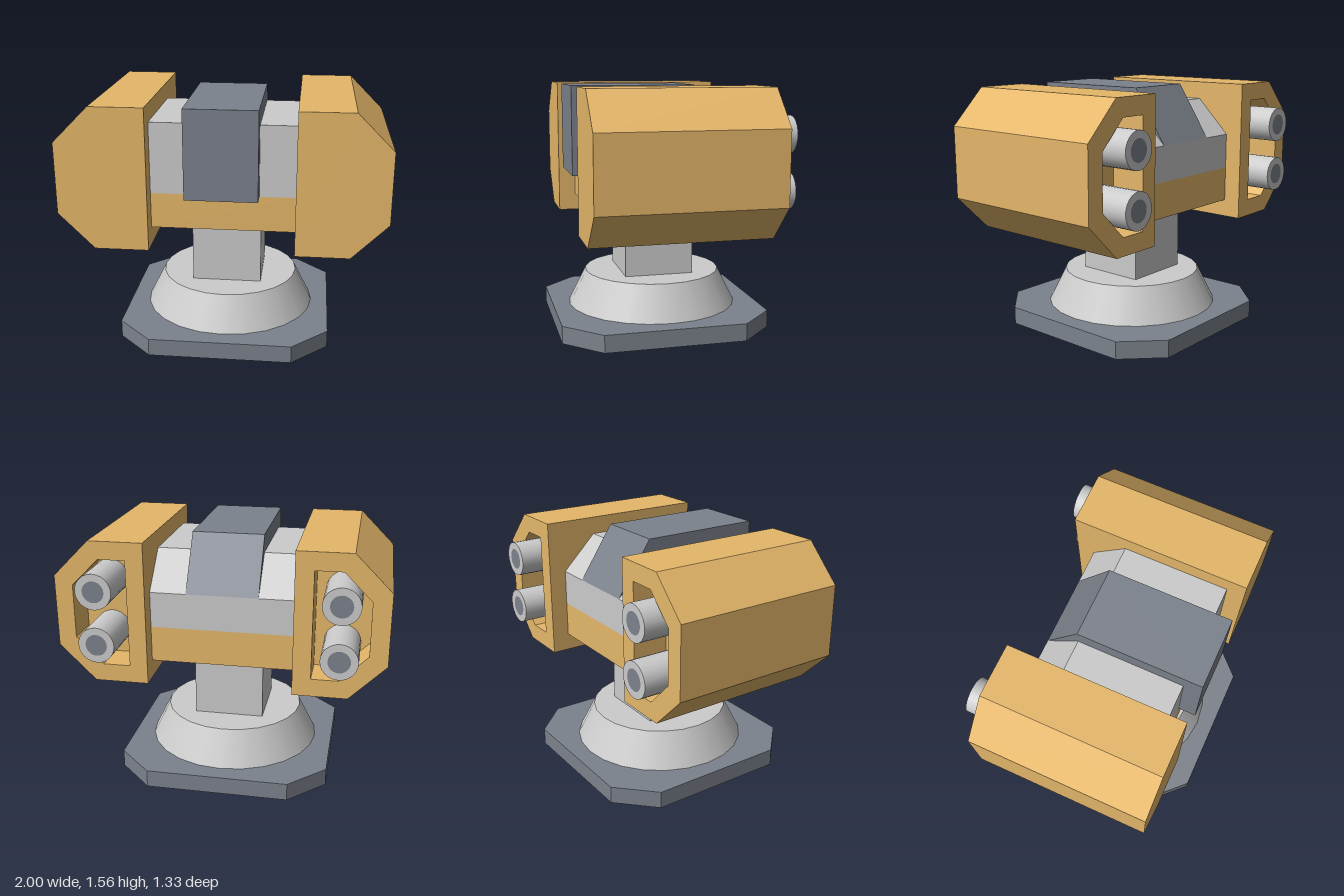
import * as THREE from 'three';

const U = 1 / 9; // modelling unit
const light = new THREE.MeshStandardMaterial({ color: 0xcccccc });
const dark = new THREE.MeshStandardMaterial({ color: 0x7c828c });
const yellow = new THREE.MeshStandardMaterial({ color: 0xe5b76a });

function add(parent, name, geometry, material, x = 0, y = 0, z = 0) {
  const mesh = new THREE.Mesh(geometry, material);
  mesh.name = name;
  mesh.position.set(x * U, y * U, z * U);
  parent.add(mesh);
  return mesh;
}

const extrude = (points, depth) => new THREE.ExtrudeGeometry(
  new THREE.Shape(points.map(([x, y]) => new THREE.Vector2(x * U, y * U))),
  { depth: depth * U, bevelEnabled: false });

// Prism with a side profile of [z, y] points, centred across x
function sidePrism(profile, width) {
  return extrude(profile.map(([z, y]) => [-z, y]), width)
    .rotateY(Math.PI / 2).translate(-width * U / 2, 0, 0);
}

// Flat-faced skin over a list of { points, z } rings, closed at both ends
function skin(rings) {
  const out = [];
  const loops = rings.map(({ points, z }) => points.map(([x, y]) => [x * U, y * U, z * U]));
  const n = loops[0].length;
  for (let k = 0; k + 1 < loops.length; k++) {
    const a = loops[k], b = loops[k + 1];
    for (let i = 0; i < n; i++) {
      const j = (i + 1) % n;
      out.push(a[i], b[i], b[j], a[i], b[j], a[j]);
    }
  }
  const first = loops[0], last = loops[loops.length - 1];
  for (let i = 1; i + 1 < n; i++) {
    out.push(first[0], first[i], first[i + 1], last[0], last[i + 1], last[i]);
  }
  const geometry = new THREE.BufferGeometry();
  geometry.setAttribute('position', new THREE.Float32BufferAttribute(out.flat(), 3));
  geometry.computeVertexNormals();
  return geometry;
}

// Side housing with a recess at the back holding two tubes
function createPod() {
  const pod = new THREE.Group();
  const outer = [[4, -4], [7, -4], [9, -2], [9, 2], [7, 4], [4, 4]];
  const inner = [[5, -3], [6.5, -3], [8, -1.5], [8, 1.5], [6.5, 3], [5, 3]];
  add(pod, 'housing', skin([
    { points: outer, z: 5 }, { points: outer, z: -5 },
    { points: inner, z: -5 }, { points: inner, z: -3 },
  ]), yellow);
  for (const y of [-1.5, 1.5]) {
    const wall = new THREE.CylinderGeometry(U, U, 3 * U, 24, 1, true).rotateX(Math.PI / 2);
    add(pod, 'tube', wall, light, 6.5, y, -4.5);
    add(pod, 'tubeRim', new THREE.RingGeometry(0.6 * U, U, 24).rotateY(Math.PI), light, 6.5, y, -6);
    add(pod, 'tubeBore', new THREE.CircleGeometry(0.6 * U, 24).rotateY(Math.PI), dark, 6.5, y, -6);
  }
  pod.position.y = 10 * U;
  return pod;
}

export function createModel() {
  const model = new THREE.Group();
  model.name = 'turret';

  // Foot: chamfered plate, tapered collar and square post
  const plate = [[-4, -6], [4, -6], [6, -4], [6, 4], [4, 6], [-4, 6], [-6, 4], [-6, -4]];
  add(model, 'basePlate', extrude(plate, 1).rotateX(-Math.PI / 2), dark);
  add(model, 'collar', new THREE.CylinderGeometry(4 * U, 5 * U, 2 * U, 24), light, 0, 2, 0);
  add(model, 'post', new THREE.BoxGeometry(4 * U, 4 * U, 4 * U), light, 0, 5, 0);

  // Head between the housings
  add(model, 'crossbeam', new THREE.BoxGeometry(8 * U, 2 * U, 8 * U), yellow, 0, 8, 0);
  add(model, 'head', sidePrism([[4, 9], [4, 13], [-2, 13], [-4, 11], [-4, 9]], 8), light);
  add(model, 'hood', sidePrism([[5, 9], [5, 14], [-2, 14], [-4, 11], [4, 11], [4, 9]], 4), dark);

  // Paired housings: the section is symmetric, so a half turn mirrors it
  ['leftPod', 'rightPod'].forEach((name, i) => {
    const pod = createPod();
    pod.name = name;
    pod.rotation.z = i * Math.PI;
    model.add(pod);
  });
  return model;
}
